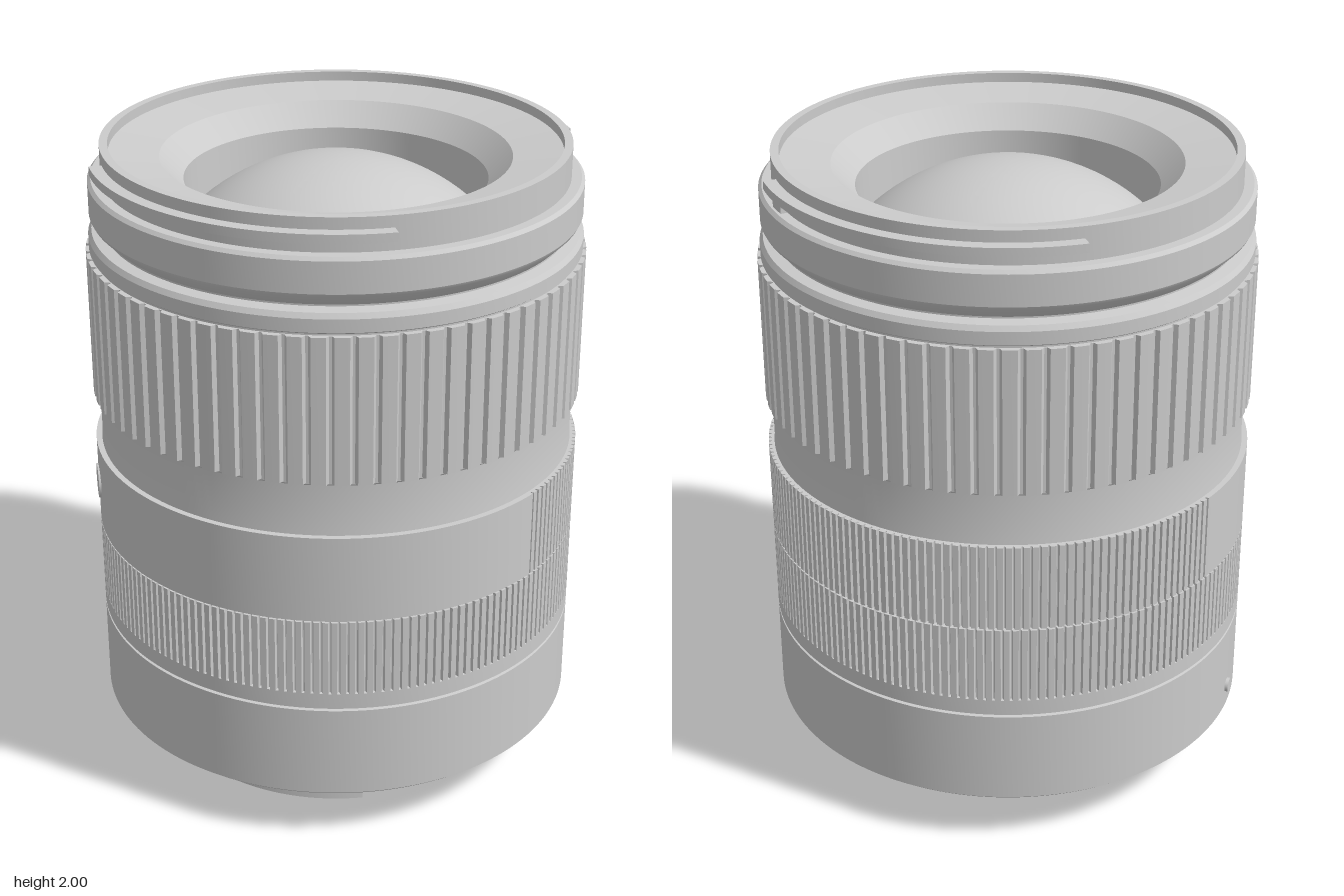
import * as THREE from 'three';
import { toCreasedNormals } from 'three/addons/utils/BufferGeometryUtils.js';

const material = new THREE.MeshStandardMaterial({ color: 0xcccccc });
const rad = THREE.MathUtils.degToRad;

export function createModel() {
  const group = new THREE.Group();

  const add = (name, geometry) => {
    const mesh = new THREE.Mesh(geometry, material);
    mesh.name = name;
    group.add(mesh);
    return mesh;
  };

  // Turned part: profile of [radius, height] running up the outside
  const turned = (name, profile, segments = 144) => {
    const points = profile.map(([r, y]) => new THREE.Vector2(r, y));
    return add(name, toCreasedNormals(new THREE.LatheGeometry(points, segments), 0.4));
  };

  // Angles are degrees from the front (+z) towards the left side (+x)
  const polar = (r, a) => new THREE.Vector2(r * Math.sin(rad(a)), -r * Math.cos(rad(a)));

  // Curved plate between two radii, plain or cut with grooves
  const plate = (name, rIn, rOut, a0, a1, y0, y1, ribs = 0, depth = 0) => {
    const outer = [], inner = [];
    const steps = ribs || Math.ceil((a1 - a0) / 2.5);
    const tooth = ribs ? [[0, depth], [0.12, depth], [0.24, 0], [0.56, 0], [0.88, 0]] : [[0, 0]];
    for (let i = 0; i < steps; i++) {
      for (const [f, d] of tooth) outer.push(polar(rOut - d, a0 + ((a1 - a0) * (i + f)) / steps));
      inner.push(polar(rIn, a0 + ((a1 - a0) * i) / steps));
    }
    const full = a1 - a0 >= 360;
    if (!full) {
      outer.push(polar(rOut, a1));
      inner.push(polar(rIn, a1));
    }
    inner.reverse();
    const shape = new THREE.Shape(full ? outer : outer.concat(inner));
    if (full) shape.holes.push(new THREE.Path(inner));
    const geometry = new THREE.ExtrudeGeometry(shape, { depth: y1 - y0, bevelEnabled: false });
    geometry.rotateX(-Math.PI / 2).translate(0, y0, 0);
    return add(name, toCreasedNormals(geometry, 0.2));
  };

  // Rear mount with stepped bore and rear glass
  turned('rearGlass', [[0, 0.145], [0.1, 0.148], [0.2, 0.154], [0.285, 0.165]]);
  turned('rearMount', [
    [0.28, 0.18], [0.28, 0.125], [0.3, 0.125], [0.3, 0.095], [0.32, 0.095], [0.32, 0.065],
    [0.34, 0.055], [0.36, 0.012], [0.49, 0.012], [0.495, 0.02], [0.5, 0.012], [0.53, 0.012],
    [0.53, 0.13], [0.685, 0.13], [0.7, 0.14], [0.7, 0.155], [0.71, 0.165],
  ]);
  for (const [a0, a1] of [[-5, 40], [122, 172], [238, 280]]) {
    plate('mountTab', 0.5, 0.565, a0, a1, 0.012, 0.047);
  }

  // Contacts and flange screws
  const pin = (name, r, a, radius, y0, y1) => {
    const p = polar(r, a);
    add(name, new THREE.CylinderGeometry(radius, radius, y1 - y0, 12)).position.set(p.x, (y0 + y1) / 2, -p.y);
  };
  for (let i = 0; i < 10; i++) pin('contact', 0.455, 150 + i * 8.5, 0.014, 0, 0.03);
  for (let i = 0; i < 6; i++) pin('flangeScrew', 0.62, 15 + i * 60, 0.018, 0.125, 0.14);

  // Barrel core carrying the rings
  turned('rearBarrel', [
    [0.69, 0.16], [0.74, 0.162], [0.755, 0.175], [0.755, 0.47], [0.745, 0.472],
    [0.745, 0.478], [0.755, 0.48], [0.755, 0.53], [0.74, 0.532],
  ]);
  turned('middleBarrel', [
    [0.738, 0.53], [0.738, 1.05], [0.735, 1.065], [0.735, 1.215], [0.738, 1.22],
    [0.738, 1.68], [0.745, 1.685], [0.745, 1.725], [0.735, 1.74], [0.7, 1.745],
  ]);

  // Lower ribbed ring and the band above it, ribbed round the back
  plate('apertureRing', 0.72, 0.755, 0, 360, 0.53, 0.775, 180, 0.01);
  plate('smoothBand', 0.72, 0.755, -99, 82, 0.78, 1.055);
  plate('ribbedBand', 0.72, 0.755, 82, 261, 0.78, 1.055, 92, 0.01);

  // Wide grip
  plate('focusGrip', 0.72, 0.755, 0, 360, 1.225, 1.675, 72, 0.013);

  // Front collar, rim and inner cone
  turned('frontCollar', [
    [0.7, 1.735], [0.7, 1.75], [0.735, 1.785], [0.74, 1.795], [0.74, 1.89], [0.73, 1.9],
    [0.7, 1.9], [0.7, 2], [0.675, 2], [0.675, 1.97], [0.525, 1.95], [0.455, 1.88], [0.45, 1.72],
  ]);
  for (const a of [0, 180]) plate('hoodTab', 0.68, 0.738, a - 44.5, a + 44.5, 1.938, 1.965);
  plate('hoodStop', 0.68, 0.73, 141, 146, 1.91, 1.938);

  // Domed front glass
  const dome = [];
  for (let i = 0; i <= 16; i++) {
    const t = (0.785 * (16 - i)) / 16;
    dome.push([0.64 * Math.sin(t), 1.29 + 0.64 * Math.cos(t)]);
  }
  turned('frontGlass', dome);

  // Side button and index bead
  const stud = (name, a, y, radius, out) => {
    const p = polar(0.745, a);
    const geometry = new THREE.CylinderGeometry(radius * 0.9, radius, out, 24).rotateX(Math.PI / 2);
    const mesh = add(name, geometry);
    mesh.position.set(p.x, y, -p.y);
    mesh.rotation.y = rad(a);
  };
  stud('sideButton', -48, 0.92, 0.06, 0.03);
  stud('indexBead', -83, 0.25, 0.025, 0.04);

  return group;
}
